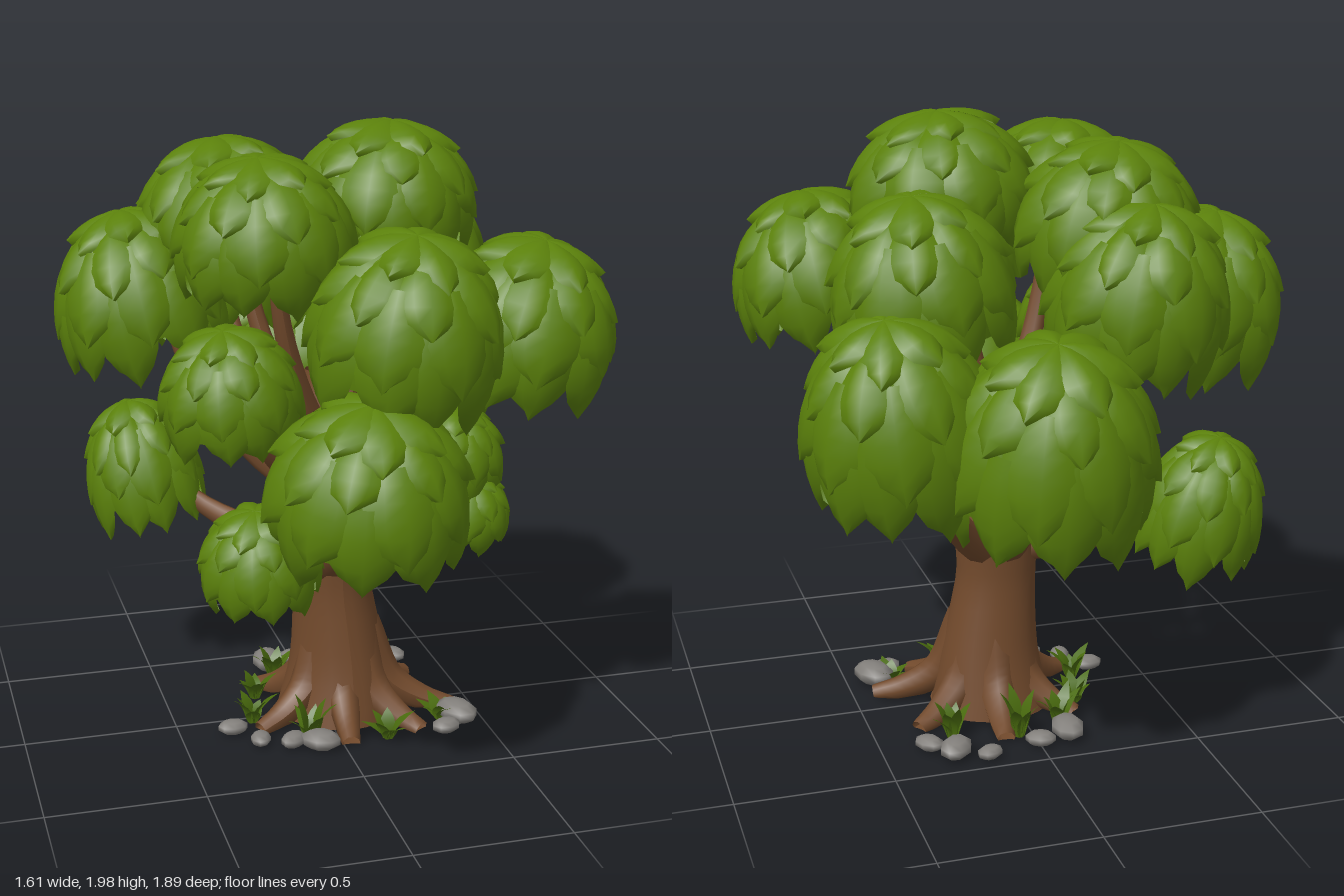
import * as THREE from 'three';
import { mergeGeometries } from 'three/addons/utils/BufferGeometryUtils.js';

const material = (name, color, extra = {}) => {
  const m = new THREE.MeshStandardMaterial({ color, ...extra });
  m.name = name;
  return m;
};

let seed = 7;
const rand = () => (seed = (seed * 16807) % 2147483647) / 2147483647;
const V = (x, y, z) => new THREE.Vector3(x, y, z);
const rad = THREE.MathUtils.degToRad;

// Smooth surface from a function of (u, v) in 0..1
function surface(fn, nu, nv) {
  const pos = [], idx = [];
  for (let i = 0; i <= nu; i++) for (let j = 0; j <= nv; j++) pos.push(...fn(i / nu, j / nv));
  for (let i = 0; i < nu; i++) for (let j = 0; j < nv; j++) {
    const a = i * (nv + 1) + j, b = a + nv + 1;
    idx.push(a, b, a + 1, b, b + 1, a + 1);
  }
  const g = new THREE.BufferGeometry();
  g.setAttribute('position', new THREE.Float32BufferAttribute(pos, 3));
  g.setIndex(idx);
  g.computeVertexNormals();
  return g;
}

const polar = (theta, phi, r) => [
  r * Math.sin(theta) * Math.sin(phi), r * Math.cos(theta), r * Math.sin(theta) * Math.cos(phi)];

// Unit dome of large overlapping leaves, hollow underneath
function leafDome() {
  const parts = [surface((u, v) => polar(u * rad(102), v * Math.PI * 2, 0.9), 10, 24)];
  // Each ring: start angle, end angle, leaf count, base radius
  const rings = [[0, 44, 7, 0.96], [20, 72, 8, 0.94], [44, 98, 8, 0.95], [66, 122, 9, 0.94]];
  rings.forEach(([t0, t1, n, r0], k) => {
    for (let i = 0; i < n; i++) {
      const phi0 = (i + k * 0.5 + (rand() - 0.5) * 0.35) / n * Math.PI * 2;
      const end = t1 + (rand() - 0.5) * 14, lift = 0.05 + rand() * 0.06;
      parts.push(surface((u, v) => {
        const s = v * 2 - 1;
        const width = u < 0.45 ? 1 : Math.pow(1 - Math.pow((u - 0.45) / 0.55, 2), 0.7);
        const theta = rad(t0 + (end - t0) * u);
        const phi = phi0 + s * width * 1.2 * Math.PI / n;
        return polar(theta, phi, r0 + lift * u - 0.085 * s * s * (k ? 1 : u));
      }, 6, 4));
    }
  });
  return mergeGeometries(parts);
}

// Round limb that tapers along a curve
function limb(points, r0, r1) {
  const curve = new THREE.CatmullRomCurve3(points);
  const nu = 12, nv = 9, g = new THREE.TubeGeometry(curve, nu, 1, nv, false);
  const p = g.attributes.position;
  for (let i = 0; i <= nu; i++) {
    const c = curve.getPointAt(i / nu), r = r0 + (r1 - r0) * i / nu;
    for (let j = 0; j <= nv; j++) {
      const k = i * (nv + 1) + j, d = V().fromBufferAttribute(p, k).sub(c).multiplyScalar(r);
      p.setXYZ(k, c.x + d.x, Math.max(0.015, c.y + d.y), c.z + d.z);
    }
  }
  g.computeVertexNormals();
  return g;
}

// Tuft of broad arching blades
function grassTuft(h) {
  const blades = [];
  for (let i = 0; i < 7; i++) {
    const a = i * 2.4 + h * 40, hh = h * (0.6 + 0.45 * rand()), lean = 0.03 + 0.05 * rand();
    blades.push(surface((u, v) => {
      const w = (v - 0.5) * 0.05 * Math.sin(Math.PI * (0.15 + 0.85 * u)), out = lean * u * u + 0.012;
      return [out * Math.sin(a) + w * Math.cos(a), hh * (u - 0.2 * u * u), out * Math.cos(a) - w * Math.sin(a)];
    }, 5, 2));
  }
  return mergeGeometries(blades);
}

export function createModel() {
  const tree = new THREE.Group();
  tree.name = 'tree';
  const bark = material('bark brown', 0x724a2c, { side: THREE.DoubleSide });
  const leaf = material('leaf green', 0x5b810b, { side: THREE.DoubleSide });
  const grass = material('grass green', 0x4a6c0e, { side: THREE.DoubleSide });
  const rock = material('stone grey', 0x827f7b);
  const add = (name, geometry, mat, parent = tree) => {
    const m = new THREE.Mesh(geometry, mat);
    m.name = name;
    parent.add(m);
    return m;
  };

  // Trunk: height, radius and centre x
  const profile = [[0.015, 0.2, 0.06], [0.18, 0.165, 0.065], [0.32, 0.145, 0.055],
    [0.48, 0.13, 0.04], [0.66, 0.14, 0.035], [0.82, 0.11, 0.02], [1.0, 0.075, 0], [1.2, 0.04, -0.01]];
  const trunkCurve = new THREE.CatmullRomCurve3(profile.map(p => V(...p)));
  add('trunk', surface((u, v) => {
    const { x: y, y: r, z: cx } = trunkCurve.getPoint(u), a = -v * Math.PI * 2;
    const rr = r * (1 + 0.03 * Math.cos(a * 3));
    return [cx + rr * Math.sin(a), y, rr * Math.cos(a) - 0.02];
  }, 18, 30), bark);

  // Underside of the trunk
  const base = add('trunkBase', new THREE.CircleGeometry(0.2, 24), bark);
  base.position.set(0.06, 0.015, -0.02);
  base.rotation.x = Math.PI / 2;

  // Roots spread over the ground: tip x and z
  const roots = [[0.43, 0.1], [0.27, 0.25], [0.02, 0.29], [-0.24, 0.12], [-0.17, -0.23], [0.1, -0.35], [0.35, -0.2]];
  for (const [x, z] of roots) {
    const at = (f, y) => V(0.06 + (x - 0.06) * f, y, -0.02 + (z + 0.02) * f);
    add('root', limb([at(0.16, 0.3), at(0.42, 0.12), at(0.72, 0.05), at(1, 0.02)], 0.085, 0.03), bark);
  }

  // Foliage clumps: x, z, radius, bottom, top, height where the branch leaves the trunk
  const clumps = [
    [-0.03, 0.62, 0.31, 0.8, 1.3, 0.56], [0.12, 0.49, 0.3, 1.22, 1.75, 0.78], [0.51, 0.42, 0.29, 1.22, 1.7, 0.75],
    [0.2, 0, 0.29, 1.58, 2, 0.95], [-0.23, 0.18, 0.28, 1.5, 1.93, 0.95], [-0.25, -0.25, 0.29, 1.47, 1.93, 0.92],
    [-0.28, -0.44, 0.28, 1.25, 1.78, 0.85], [-0.53, -0.27, 0.28, 1.2, 1.71, 0.76], [0.05, -0.63, 0.32, 0.82, 1.45, 0.55],
    [0.45, -0.45, 0.3, 0.9, 1.5, 0.53], [0.33, -0.25, 0.29, 1.28, 1.8, 0.8], [-0.36, 0.29, 0.22, 1.07, 1.44, 0.8],
    [-0.51, -0.42, 0.2, 0.59, 1.03, 0.56], [-0.31, 0.43, 0.19, 0.61, 0.92, 0.56], [0.34, 0.38, 0.16, 0.74, 0.97, 0.58],
    [0.3, 0.33, 0.19, 0.88, 1.17, 0.6], [0.36, 0.02, 0.17, 1.02, 1.32, 0.72],
  ];
  const dome = leafDome();
  clumps.forEach(([x, z, r, bottom, top, start], i) => {
    const b = (top - bottom) / 1.5;
    const group = new THREE.Group();
    group.name = 'foliageClump';
    group.position.set(x, top - b, z);
    group.rotation.set(z * 0.35, 0, -x * 0.35);
    const leaves = add('leaves', dome, leaf, group);
    leaves.scale.set(r, b, r);
    leaves.rotation.y = i * 1.9;
    tree.add(group);

    // Branch leaving the trunk sideways, then bending up into the clump
    const rise = bottom + 0.5 * (top - bottom) - start;
    const at = (f, up) => V(0.02 + (x - 0.02) * f, start + rise * up, z * f);
    const thick = start < 0.6 ? 0.065 : 0.048;
    add('branch', limb([at(0.05, 0), at(0.38, 0.2), at(0.7, 0.52), at(0.92, 1)], thick, 0.016), bark);
  });

  // Stones around the roots: x, z, size
  const stones = [[-0.33, 0.1, 0.045], [-0.26, 0.2, 0.04], [-0.08, 0.28, 0.06], [-0.16, 0.24, 0.045],
    [0.41, 0.2, 0.07], [0.35, 0.27, 0.045], [-0.1, -0.37, 0.065], [0, -0.4, 0.045], [0.28, -0.4, 0.06],
    [0.35, -0.33, 0.045], [0.18, -0.44, 0.04]];
  stones.forEach(([x, z, s], i) => {
    const m = add('stone', new THREE.SphereGeometry(s, 8, 5), rock);
    m.position.set(x, s * 0.55 + 0.01, z);
    m.scale.set(1.15, 0.55, 0.85);
    m.rotation.y = i * 1.3;
  });

  // Grass tufts: x, z, height
  const tufts = [[-0.25, 0.04, 0.13], [-0.1, 0.23, 0.2], [0.36, 0.18, 0.1], [0.15, 0.27, 0.11],
    [0.05, -0.33, 0.2], [-0.1, -0.28, 0.14], [0.26, -0.28, 0.16], [-0.2, -0.14, 0.11]];
  for (const [x, z, h] of tufts) add('grassTuft', grassTuft(h), grass).position.set(x, 0.015, z);
  return tree;
}
